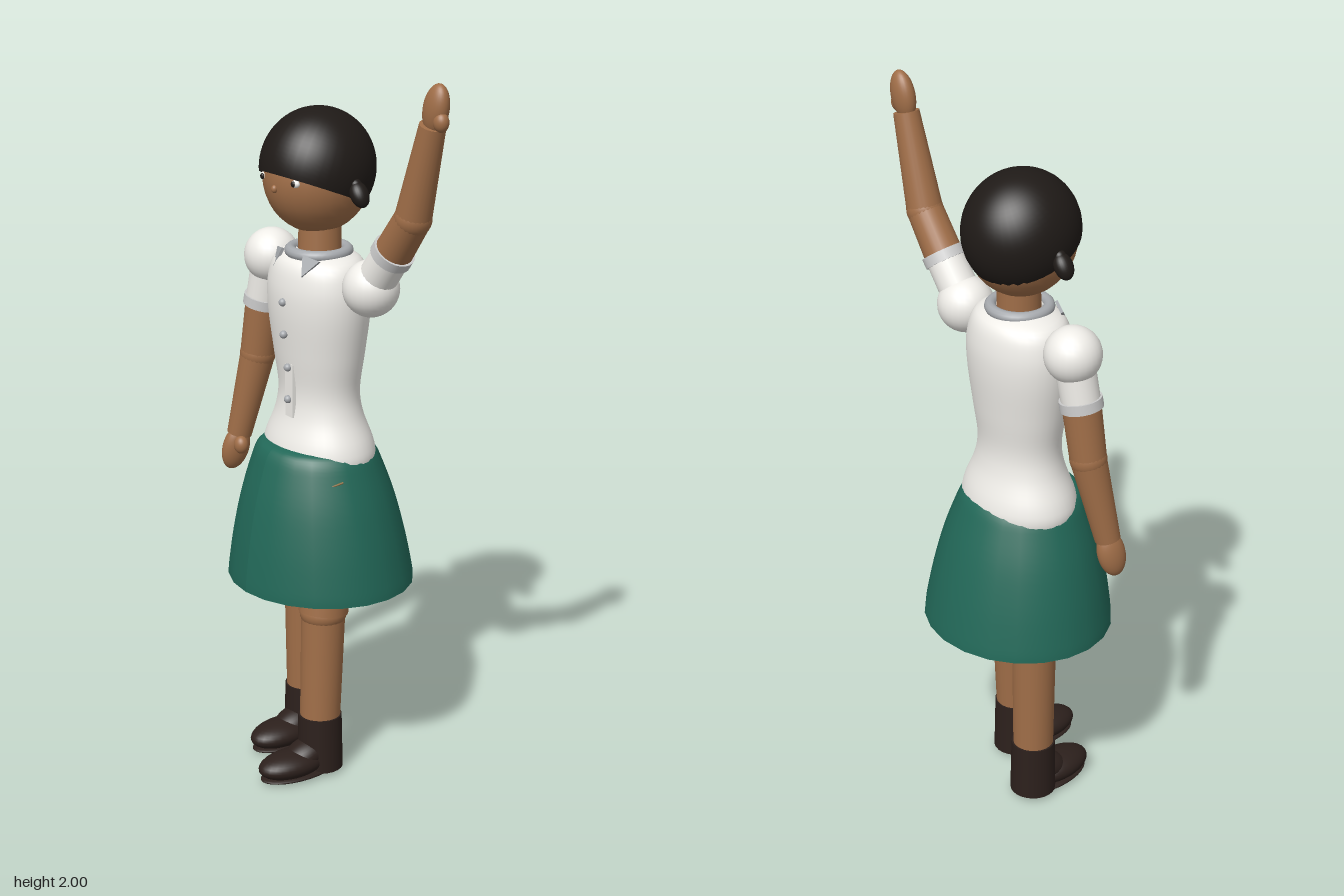
import * as THREE from 'three';

const V = (x, y, z) => new THREE.Vector3(x, y, z);
const material = (color, side = THREE.FrontSide) => new THREE.MeshStandardMaterial({ color, side });
const SKIN = material(0xa06e48), HAIR = material(0x1f1a17), WHITE = material(0xefede8);
const GREY = material(0xa6a9ad, THREE.DoubleSide), CUFF = material(0xc4c6c8);
const SKIRT = material(0x226858, THREE.DoubleSide), BOOT = material(0x2c201c);

function add(parent, name, geometry, mat, pos = V(0, 0, 0)) {
  const mesh = new THREE.Mesh(geometry, mat);
  mesh.name = name;
  mesh.position.copy(pos);
  parent.add(mesh);
  return mesh;
}

function ball(parent, name, mat, pos, rx, ry = rx, rz = rx) {
  const mesh = add(parent, name, new THREE.SphereGeometry(1, 28, 20), mat, pos);
  mesh.scale.set(rx, ry, rz);
  return mesh;
}

// Tapered cylinder running from a to b
function limb(parent, name, mat, a, b, ra, rb) {
  const dir = b.clone().sub(a);
  const mesh = add(parent, name, new THREE.CylinderGeometry(rb, ra, dir.length(), 24), mat,
    a.clone().add(b).multiplyScalar(0.5));
  mesh.quaternion.setFromUnitVectors(V(0, 1, 0), dir.normalize());
  return mesh;
}

// Lathe through a smoothed profile
function turned(points, steps, sides) {
  const curve = new THREE.SplineCurve(points.map(p => new THREE.Vector2(...p)));
  return new THREE.LatheGeometry(curve.getPoints(steps), sides);
}

function makeArm(name, { shoulder, cuff, elbow, wrist, hand, thumb }) {
  const arm = new THREE.Group();
  arm.name = name;
  ball(arm, 'puffSleeve', WHITE, shoulder, 0.077);
  limb(arm, 'sleeve', WHITE, shoulder, cuff, 0.054, 0.052);
  const out = cuff.clone().sub(shoulder).normalize();
  limb(arm, 'cuff', CUFF, cuff.clone().addScaledVector(out, -0.016),
    cuff.clone().addScaledVector(out, 0.012), 0.058, 0.058);
  limb(arm, 'upperArm', SKIN, cuff, elbow, 0.052, 0.049);
  ball(arm, 'elbow', SKIN, elbow, 0.05);
  limb(arm, 'forearm', SKIN, elbow, wrist, 0.049, 0.035);
  const palm = ball(arm, 'hand', SKIN, hand, 0.04, 0.068, 0.029);
  palm.quaternion.setFromUnitVectors(V(0, 1, 0), hand.clone().sub(wrist).normalize());
  ball(arm, 'thumb', SKIN, thumb, 0.022, 0.026, 0.02);
  return arm;
}

function makeLeg(name, hip, knee, ankle, turn) {
  const leg = new THREE.Group();
  leg.name = name;
  limb(leg, 'thigh', SKIN, hip, knee, 0.078, 0.069);
  ball(leg, 'knee', SKIN, knee, 0.066, 0.05, 0.066);
  limb(leg, 'shin', SKIN, knee, ankle, 0.061, 0.056);

  const boot = new THREE.Group();
  boot.name = 'boot';
  boot.position.set(ankle.x, 0, ankle.z);
  boot.rotation.y = turn;
  limb(boot, 'bootShaft', BOOT, V(0, 0.012, 0), V(0, 0.17, 0), 0.064, 0.061);
  ball(boot, 'toe', BOOT, V(0, 0.042, 0.095), 0.062, 0.038, 0.105);
  const instep = ball(boot, 'instep', BOOT, V(0, 0.06, 0.05), 0.05, 0.04, 0.075);
  instep.rotation.x = 0.35;
  const sole = ball(boot, 'sole', BOOT, V(0, 0.012, 0.075), 0.06, 0.012, 0.12);
  sole.position.y = 0.0125;
  leg.add(boot);
  return leg;
}

function makeHead() {
  const head = new THREE.Group();
  head.name = 'head';
  head.position.set(-0.093, 1.7, -0.012);
  head.rotation.y = 0.11;
  ball(head, 'face', SKIN, V(0, -0.018, 0.002), 0.141, 0.155, 0.15);

  // Hair cap: sphere cut by a plane that drops toward the nape
  const cap = new THREE.SphereGeometry(1, 40, 24, 0, Math.PI * 2, 0, 1.93);
  cap.rotateX(-0.4);
  const hair = add(head, 'hair', cap, material(0x1f1a17, THREE.DoubleSide), V(0, 0.003, 0));
  hair.scale.set(0.15, 0.162, 0.162);

  for (const s of [-1, 1]) {
    const bun = ball(head, 'hairBun', HAIR, V(s * 0.16, -0.045, -0.005), 0.024, 0.037, 0.026);
    bun.rotation.z = s * 0.55;
    ball(head, 'hairTie', HAIR, V(s * 0.145, -0.022, -0.005), 0.017);
    ball(head, 'eyeWhite', WHITE, V(s * 0.062, -0.012, 0.132), 0.015, 0.011, 0.009);
    ball(head, 'pupil', HAIR, V(s * 0.062, -0.012, 0.14), 0.007, 0.008, 0.005);
  }
  ball(head, 'nose', SKIN, V(0, -0.034, 0.151), 0.009, 0.011, 0.009);
  return head;
}

function makeBlouse() {
  const blouse = new THREE.Group();
  blouse.name = 'blouse';
  blouse.position.set(-0.085, 0, -0.009);
  const torso = add(blouse, 'torso', turned([[0.165, 0.86], [0.18, 0.91], [0.172, 0.955],
    [0.14, 1.03], [0.13, 1.1], [0.145, 1.2], [0.162, 1.32], [0.16, 1.4], [0.135, 1.46],
    [0.07, 1.485]], 48, 40), material(0xefede8, THREE.DoubleSide));
  torso.scale.z = 0.78;

  // Collar band with two pointed flaps
  const band = add(blouse, 'collarBand', new THREE.TorusGeometry(0.077, 0.016, 12, 36), GREY, V(0.008, 1.48, 0.005));
  band.rotation.x = Math.PI / 2;
  for (const s of [-1, 1]) {
    const shape = new THREE.Shape([[0, 0], [s * 0.055, 0], [s * 0.02, -0.055]].map(p => new THREE.Vector2(...p)));
    const flap = add(blouse, 'collarFlap', new THREE.ExtrudeGeometry(shape,
      { depth: 0.008, bevelEnabled: false }), GREY, V(0.008 + s * 0.045, 1.485, 0.085));
    flap.rotation.set(-0.45, s * 0.4, 0);
  }

  // Front closure
  add(blouse, 'placket', new THREE.BoxGeometry(0.035, 0.15, 0.02), WHITE, V(0.015, 1.105, 0.1));
  [[1.355, 0.128], [1.265, 0.126], [1.17, 0.113], [1.08, 0.113]].forEach(([y, z]) =>
    ball(blouse, 'button', GREY, V(0.015, y, z), 0.011));
  return blouse;
}

function makeSkirt() {
  const skirt = new THREE.Group();
  skirt.name = 'skirt';
  const cloth = turned([[0.274, 0.545], [0.27, 0.58], [0.252, 0.68], [0.225, 0.79],
    [0.194, 0.88], [0.174, 0.925], [0.15, 0.944], [0.1, 0.95]], 28, 22);
  // Oval, with the waist leaning slightly forward
  const p = cloth.attributes.position;
  for (let i = 0; i < p.count; i++) p.setZ(i, p.getZ(i) * 0.915 + 0.04 * (p.getY(i) - 0.545));
  cloth.computeVertexNormals();
  add(skirt, 'cloth', cloth, SKIRT, V(-0.082, 0, -0.011));

  // Thin stitched pocket edge on the left hip
  const stitch = new THREE.CatmullRomCurve3([V(0.078, 0.872, 0.096), V(0.096, 0.872, 0.073), V(0.105, 0.879, 0.045)]);
  add(skirt, 'pocketStitch', new THREE.TubeGeometry(stitch, 10, 0.003, 6), material(0x8a6a35));
  return skirt;
}

export function createModel() {
  const model = new THREE.Group();
  model.name = 'wavingFigure';
  model.add(makeHead(), makeBlouse(), makeSkirt());
  limb(model, 'neck', SKIN, V(-0.08, 1.44, -0.008), V(-0.083, 1.57, -0.012), 0.06, 0.057);

  model.add(makeArm('leftArm', {
    shoulder: V(0.125, 1.415, -0.03), cuff: V(0.208, 1.528, -0.04), elbow: V(0.286, 1.635, -0.045),
    wrist: V(0.36, 1.89, -0.048), hand: V(0.37, 1.933, -0.05), thumb: V(0.398, 1.905, -0.045),
  }));
  model.add(makeArm('rightArm', {
    shoulder: V(-0.29, 1.42, 0.005), cuff: V(-0.315, 1.285, 0.015), elbow: V(-0.335, 1.13, 0.025),
    wrist: V(-0.373, 0.89, 0.065), hand: V(-0.381, 0.848, 0.072), thumb: V(-0.342, 0.866, 0.08),
  }));
  model.add(makeLeg('leftLeg', V(-0.005, 0.9, -0.01), V(0.015, 0.475, 0.048), V(0.018, 0.15, 0.062), 0));
  model.add(makeLeg('rightLeg', V(-0.165, 0.9, -0.005), V(-0.175, 0.49, -0.025), V(-0.177, 0.15, -0.027), 0.12));
  return model;
}
